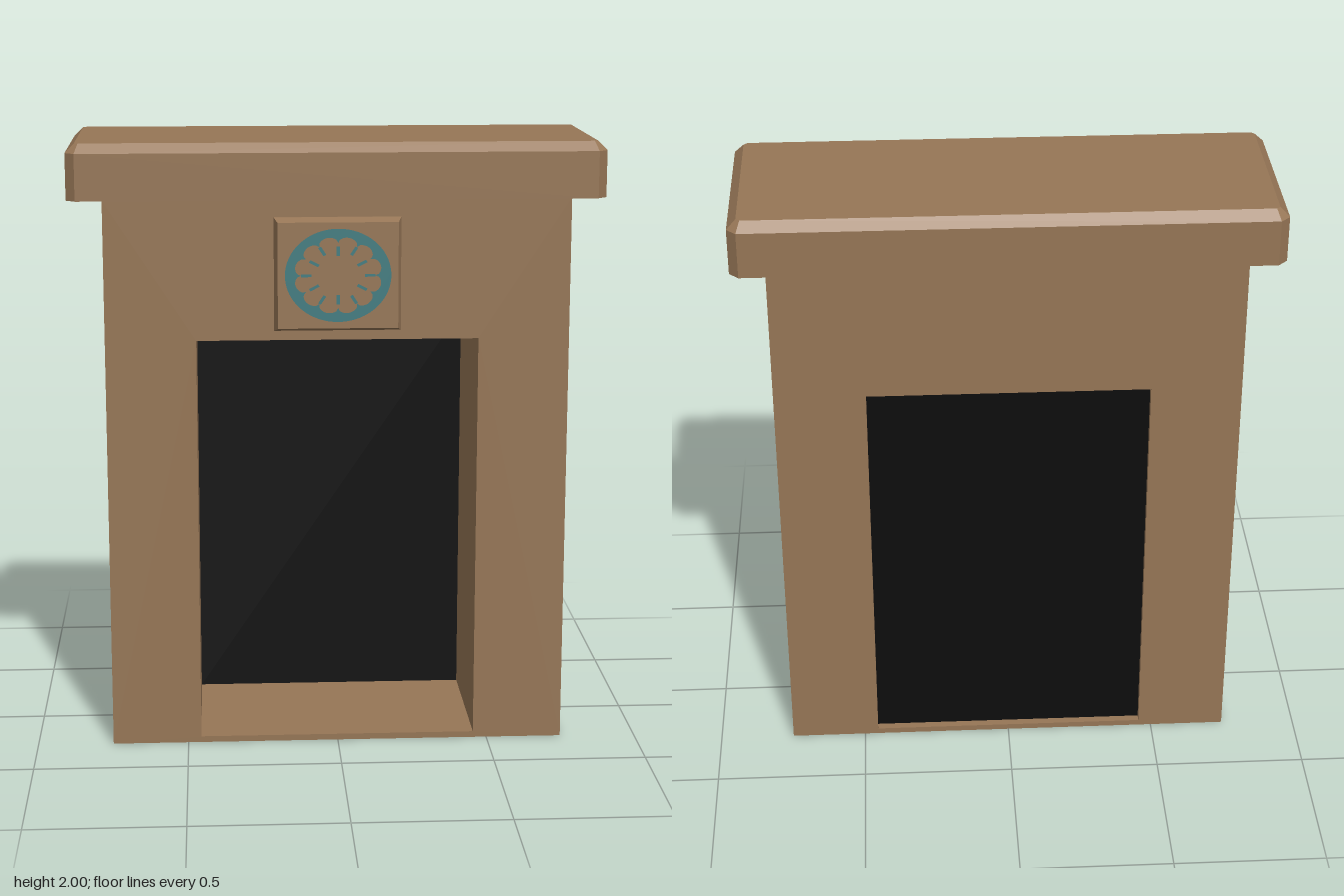
import * as THREE from 'three';
import { ConvexGeometry } from 'three/addons/geometries/ConvexGeometry.js';

function material(name, color) {
  const m = new THREE.MeshStandardMaterial({ color });
  m.name = name;
  return m;
}

function addMesh(parent, name, geometry, mat) {
  const mesh = new THREE.Mesh(geometry, mat);
  mesh.name = name;
  parent.add(mesh);
  return mesh;
}

// Horizontal rectangle at height y with its corners cut by c
function cutRectangle(x0, x1, z0, z1, y, c) {
  return [
    [x0 + c, z0], [x1 - c, z0], [x1, z0 + c], [x1, z1 - c],
    [x1 - c, z1], [x0 + c, z1], [x0, z1 - c], [x0, z0 + c],
  ].map(([x, z]) => new THREE.Vector3(x, y, z));
}

// Upright rectangle facing +z
function uprightRectangle(x0, x1, y0, y1, z) {
  return [[x0, y0], [x1, y0], [x1, y1], [x0, y1]].map(([x, y]) => new THREE.Vector3(x, y, z));
}

export function createModel() {
  const group = new THREE.Group();
  group.name = 'fireplace';
  const brown = material('brown stone', 0x967656);
  const black = material('soot black', 0x0d0d0d);
  const teal = material('teal paint', 0x417c80);

  // Surround with a through opening above a thin hearth
  const outline = new THREE.Shape();
  outline.moveTo(-0.75, 0).lineTo(0.75, 0).lineTo(0.75, 1.82).lineTo(-0.75, 1.82).closePath();
  const opening = new THREE.Path();
  opening.moveTo(-0.457, 0.02).lineTo(-0.457, 1.365).lineTo(0.455, 1.365).lineTo(0.455, 0.02).closePath();
  outline.holes.push(opening);
  const surround = new THREE.ExtrudeGeometry(outline, { depth: 0.56, bevelEnabled: false });
  addMesh(group, 'surround', surround.translate(0, 0, -0.28), brown);

  // Dark panel set just inside the back of the opening
  const panel = new THREE.BoxGeometry(0.912, 1.345, 0.008);
  addMesh(group, 'backPanel', panel.translate(-0.001, 0.6925, -0.25), black);

  // Mantel slab with cut corners and a chamfered top edge
  addMesh(group, 'mantel', new ConvexGeometry([
    ...cutRectangle(-0.863, 0.86, -0.32, 0.31, 1.82, 0.03),
    ...cutRectangle(-0.863, 0.86, -0.32, 0.31, 1.97, 0.03),
    ...cutRectangle(-0.833, 0.83, -0.29, 0.28, 2, 0.012),
  ]), brown);

  // Plaque with sloping edges
  addMesh(group, 'plaque', new ConvexGeometry([
    ...uprightRectangle(-0.206, 0.202, 1.397, 1.763, 0.281),
    ...uprightRectangle(-0.206, 0.202, 1.397, 1.763, 0.287),
    ...uprightRectangle(-0.195, 0.191, 1.409, 1.75, 0.32),
  ]), brown);

  // Painted oval ring with a scalloped inside edge
  const ornament = new THREE.Group();
  ornament.name = 'ornament';
  ornament.position.set(-0.002, 1.58, 0.3215);
  ornament.scale.set(0.17, 0.15, 1);
  group.add(ornament);
  const ring = new THREE.Shape().absarc(0, 0, 1, 0, Math.PI * 2, false);
  const scallops = [];
  for (let i = 0; i < 144; i++) {
    const a = (i / 144) * Math.PI * 2;
    const r = 0.7 + 0.13 * Math.sqrt(Math.abs(Math.sin(a * 6)));
    scallops.push(new THREE.Vector2(r * Math.cos(a), r * Math.sin(a)));
  }
  ring.holes.push(new THREE.Path(scallops));
  addMesh(ornament, 'scallopedRing', new THREE.ShapeGeometry(ring, 48), teal);

  // Small painted flecks pointing at the centre
  for (let i = 0; i < 12; i++) {
    const a = (i / 12) * Math.PI * 2;
    const fleck = addMesh(ornament, 'fleck', new THREE.PlaneGeometry(0.2, 0.06), teal);
    const r = i % 2 ? 0.52 : 0.6;
    fleck.position.set(r * Math.cos(a), r * Math.sin(a), 0);
    fleck.rotation.z = a;
  }
  return group;
}
